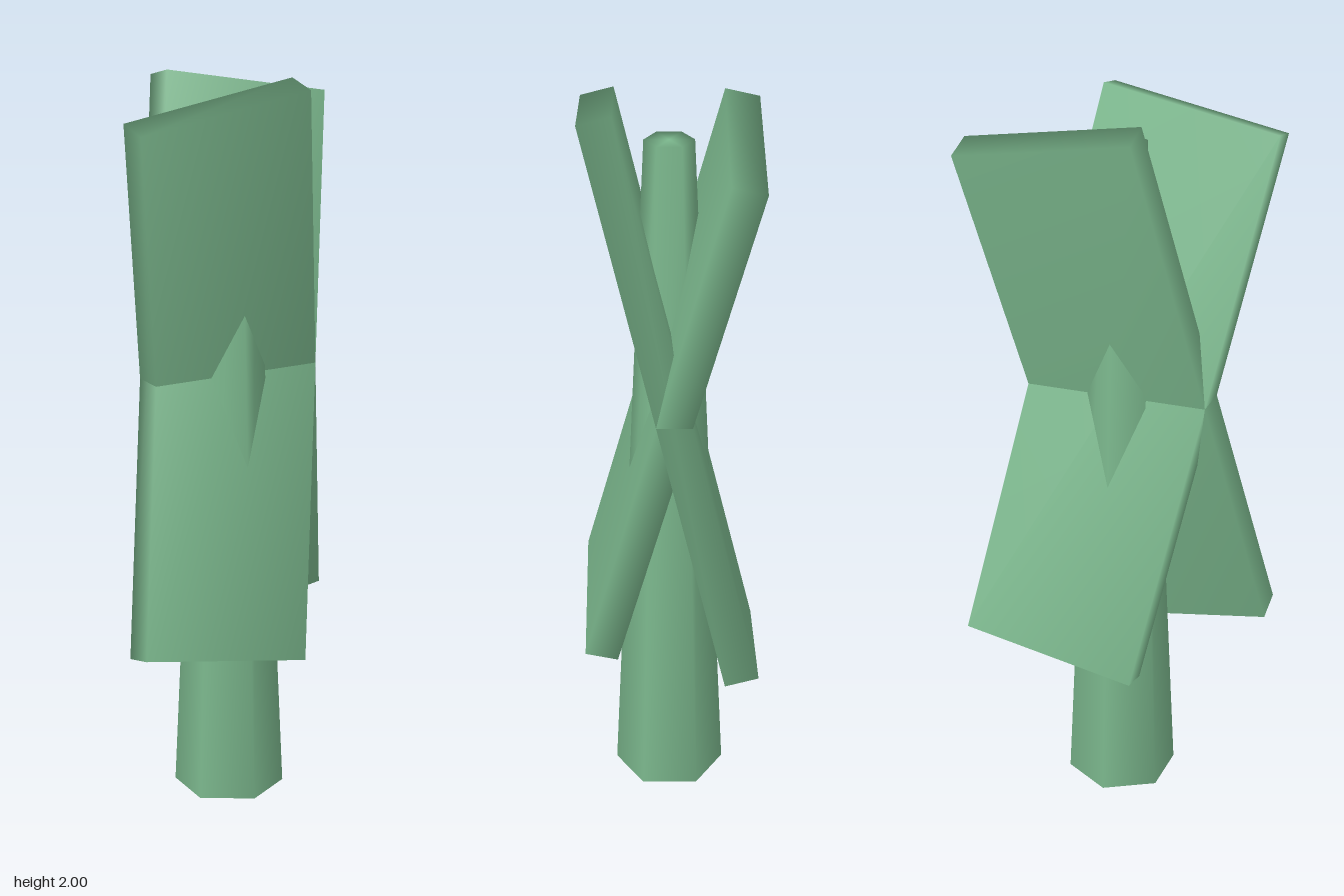
import * as THREE from 'three';
import { mergeVertices } from 'three/addons/utils/BufferGeometryUtils.js';

const material = new THREE.MeshStandardMaterial({ color: 0x7dba8f });

// Weld corners so the shading runs smoothly round the edges
function softMesh(geometry, name) {
  geometry.deleteAttribute('normal');
  geometry.deleteAttribute('uv');
  const welded = mergeVertices(geometry);
  welded.computeVertexNormals();
  const mesh = new THREE.Mesh(welded, material);
  mesh.name = name;
  return mesh;
}

export function createModel() {
  const group = new THREE.Group();
  group.name = 'crossedPlatesOnPost';

  // Tapered hexagonal post
  const post = softMesh(new THREE.CylinderGeometry(0.066, 0.152, 1.9, 6), 'post');
  post.position.y = 0.95;
  group.add(post);

  // Two leaning plates, each the other turned half round the post
  ['frontPlate', 'backPlate'].forEach((name, i) => {
    const plate = softMesh(new THREE.BoxGeometry(0.489, 1.56, 0.093), name);
    plate.rotation.set(THREE.MathUtils.degToRad(14.1), 0, THREE.MathUtils.degToRad(10), 'ZYX');
    const turn = new THREE.Group();
    turn.name = name + 'Mount';
    turn.position.y = 1.2;
    turn.rotation.y = i * Math.PI;
    turn.add(plate);
    group.add(turn);
  });

  return group;
}
